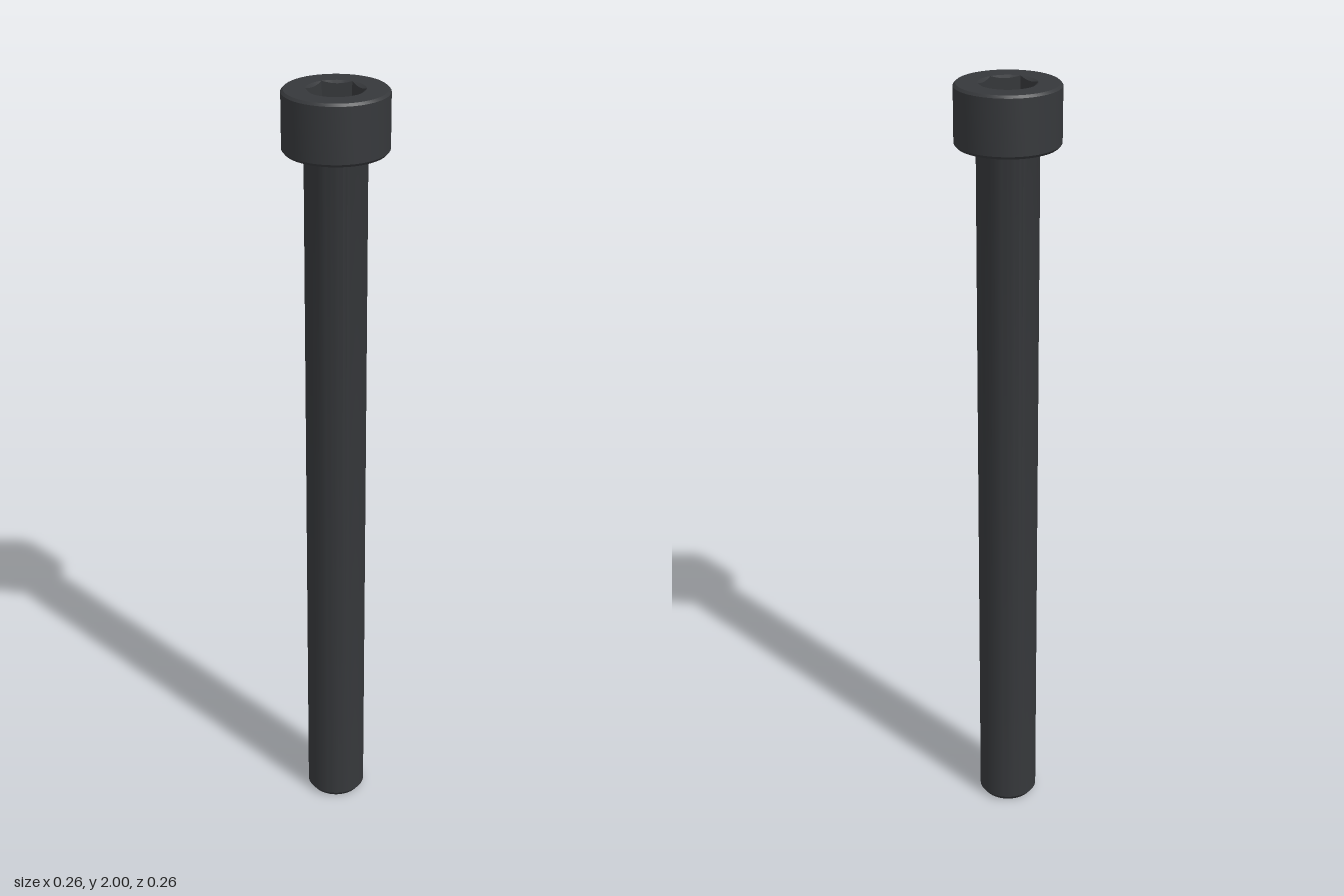
import * as THREE from 'three';
import { toCreasedNormals } from 'three/addons/utils/BufferGeometryUtils.js';

const SEGMENTS = 48;
const HEAD_TOP = 2;
const HEAD_BOTTOM = 1.85;
const SOCKET_RADIUS = 0.072;
const SOCKET_FLOOR = 1.925;

const steel = new THREE.MeshStandardMaterial({ color: 0x36383b });

function addPart(group, name, geometry) {
  const mesh = new THREE.Mesh(toCreasedNormals(geometry, 0.4), steel);
  mesh.name = name;
  group.add(mesh);
}

function turned(points) {
  return new THREE.LatheGeometry(points.map(([r, y]) => new THREE.Vector2(r, y)), SEGMENTS);
}

// Distance from the axis to the hexagon's edge, with corners on the x axis
function hexRadius(angle) {
  const step = Math.PI / 3;
  const fromFlat = ((angle + step / 2) % step) - step / 2;
  return SOCKET_RADIUS * Math.cos(step / 2) / Math.cos(fromFlat);
}

// Round countersunk rim, hexagonal walls and flat floor
function socketGeometry() {
  const rings = [
    () => [SOCKET_RADIUS, HEAD_TOP],
    (a) => [hexRadius(a), HEAD_TOP - (SOCKET_RADIUS - hexRadius(a)) * 0.6],
    (a) => [hexRadius(a), SOCKET_FLOOR],
    () => [0, SOCKET_FLOOR],
  ];
  const positions = [];
  const index = [];
  rings.forEach((ring, j) => {
    for (let i = 0; i < SEGMENTS; i++) {
      const angle = (i / SEGMENTS) * Math.PI * 2;
      const [r, y] = ring(angle);
      positions.push(r * Math.sin(angle), y, r * Math.cos(angle));
      if (j === rings.length - 1) continue;
      const next = (i + 1) % SEGMENTS;
      const a = j * SEGMENTS + i;
      const b = j * SEGMENTS + next;
      index.push(a, b, b + SEGMENTS);
      if (j < rings.length - 2) index.push(a, b + SEGMENTS, a + SEGMENTS);
    }
  });
  const geometry = new THREE.BufferGeometry();
  geometry.setAttribute('position', new THREE.Float32BufferAttribute(positions, 3));
  geometry.setIndex(index);
  geometry.computeVertexNormals();
  return geometry;
}

export function createModel() {
  const bolt = new THREE.Group();
  bolt.name = 'socketHeadBolt';

  // Shank with a chamfered tip and a small fillet under the head
  addPart(bolt, 'shank', turned([
    [0, 0], [0.067, 0], [0.077, 0.013], [0.077, 1.842], [0.079, 1.847], [0.083, HEAD_BOTTOM],
  ]));

  // Cylindrical head with chamfered edges, open at the socket
  addPart(bolt, 'head', turned([
    [0.077, HEAD_BOTTOM], [0.124, HEAD_BOTTOM], [0.13, HEAD_BOTTOM + 0.007],
    [0.13, HEAD_TOP - 0.006], [0.124, HEAD_TOP], [SOCKET_RADIUS, HEAD_TOP],
  ]));

  addPart(bolt, 'hexSocket', socketGeometry());

  return bolt;
}
